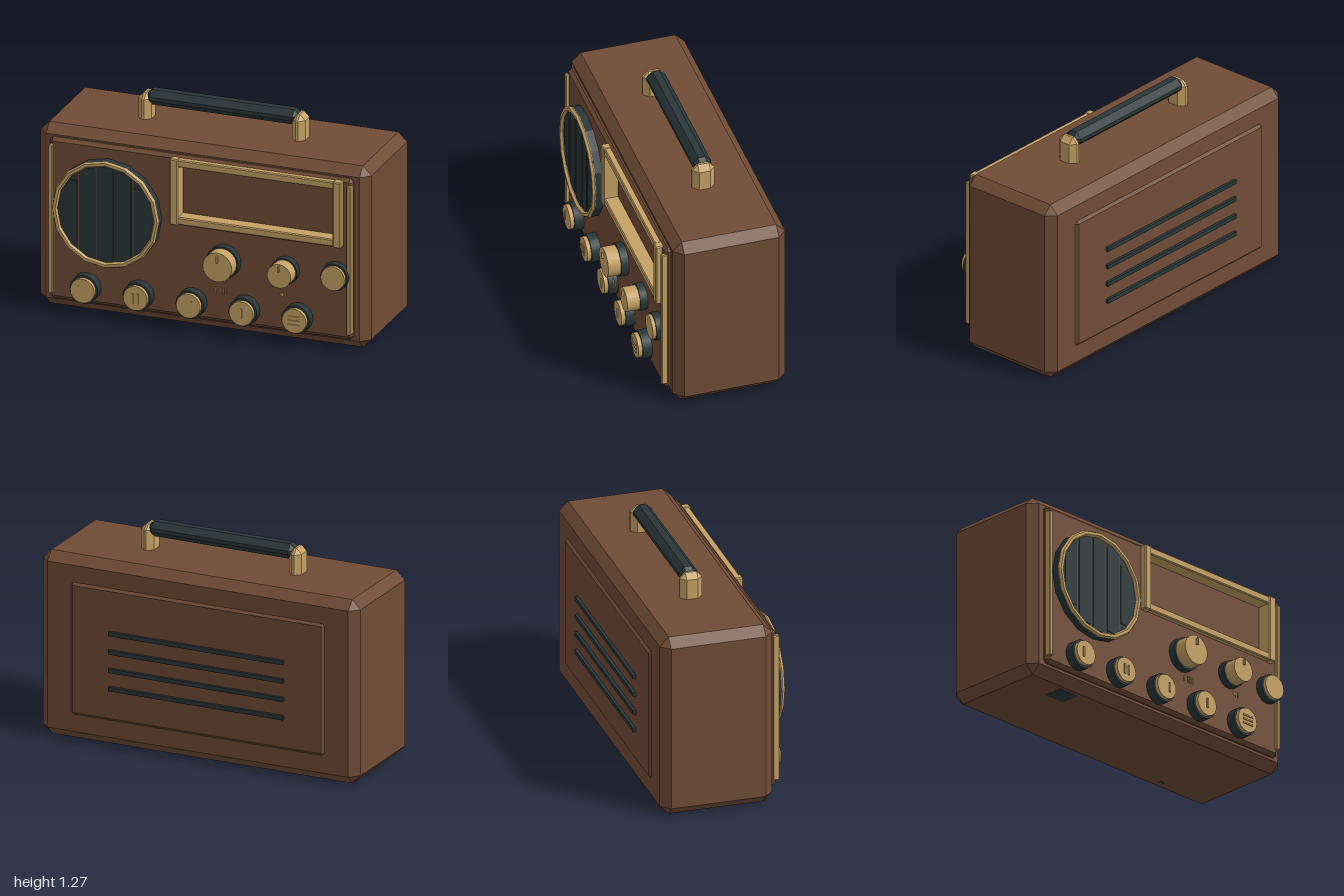
import * as THREE from 'three';
import { mergeGeometries } from 'three/addons/utils/BufferGeometryUtils.js';
import { ConvexGeometry } from 'three/addons/geometries/ConvexGeometry.js';

const material = (name, color, side = THREE.FrontSide) => {
  const m = new THREE.MeshStandardMaterial({ color, side });
  m.name = name;
  return m;
};

// Box with every edge chamfered by c
function bevelBox(w, h, d, c) {
  const pts = [];
  for (const sx of [-1, 1]) for (const sy of [-1, 1]) for (const sz of [-1, 1]) {
    const x = w / 2, y = h / 2, z = d / 2;
    pts.push(
      new THREE.Vector3(sx * x, sy * (y - c), sz * (z - c)),
      new THREE.Vector3(sx * (x - c), sy * y, sz * (z - c)),
      new THREE.Vector3(sx * (x - c), sy * (y - c), sz * z)
    );
  }
  return new ConvexGeometry(pts);
}

// Swap the flat front of a chamfered box for a face with a rectangular opening
function openFront(geo, w, h, d, c, [x0, x1, y0, y1]) {
  const p = geo.attributes.position, keep = [];
  for (let i = 0; i < p.count; i += 3) {
    const isFront = [0, 1, 2].every(k => p.getZ(i + k) > d / 2 - 1e-4);
    if (!isFront) for (let k = 0; k < 3; k++) keep.push(p.getX(i + k), p.getY(i + k), p.getZ(i + k));
  }
  const shell = new THREE.BufferGeometry();
  shell.setAttribute('position', new THREE.Float32BufferAttribute(keep, 3));
  shell.computeVertexNormals();
  const rect = (T, a, b, e, f) => {
    const s = new T();
    s.moveTo(a, e); s.lineTo(b, e); s.lineTo(b, f); s.lineTo(a, f); s.closePath();
    return s;
  };
  const X = w / 2 - c, Y = h / 2 - c;
  const face = rect(THREE.Shape, -X, X, -Y, Y);
  face.holes.push(rect(THREE.Path, x0, x1, y0, y1));
  const front = new THREE.ShapeGeometry(face).toNonIndexed().translate(0, 0, d / 2);
  front.deleteAttribute('uv');
  return mergeGeometries([shell, front]);
}

// Faceted copy of a geometry
function flat(geo) {
  const g = geo.toNonIndexed();
  g.computeVertexNormals();
  return g;
}

export function createModel() {
  const brown = material('brown casing', 0x714c36, THREE.DoubleSide);
  const gold = material('brass', 0xc6a265);
  const dark = material('dark rubber', 0x293638);
  const glass = material('dark dial', 0x372a20);

  const root = new THREE.Group();
  root.name = 'radio';
  const add = (name, geo, mat, x, y, z, parent = root) => {
    const m = new THREE.Mesh(geo, mat);
    m.name = name;
    m.position.set(x, y, z);
    parent.add(m);
    return m;
  };
  // Plain box given by its centre and size
  const box = (name, mat, x, y, z, w, h, d, parent) =>
    add(name, new THREE.BoxGeometry(w, h, d), mat, x, y, z, parent);
  // Disc facing +z, from z0 to z1
  const disc = (name, mat, r, z0, z1, parent) =>
    add(name, new THREE.CylinderGeometry(r, r, z1 - z0, 24).rotateX(Math.PI / 2), mat, 0, 0, (z0 + z1) / 2, parent);

  // Casing and front panel, both open behind the dial
  const hole = [-0.15, 0.835, 0.655, 1.005];
  const shifted = cy => [hole[0], hole[1], hole[2] - cy, hole[3] - cy];
  const caseSize = [2, 1.1, 0.665, 0.053];
  add('casing', openFront(bevelBox(...caseSize), ...caseSize, shifted(0.55)), brown, 0, 0.55, -0.0675);
  const panelSize = [1.835, 0.975, 0.05, 0.02];
  add('frontPanel', openFront(bevelBox(...panelSize), ...panelSize, shifted(0.5525)), brown, 0, 0.5525, 0.275);

  // Side trims
  for (const s of [-1, 1])
    add('sideTrim', bevelBox(0.026, 0.9, 0.04, 0.005), gold, s * 0.902, 0.552, 0.3);

  // Recessed dial and its frame
  const dial = new THREE.Group();
  dial.name = 'dial';
  root.add(dial);
  box('dialWindow', glass, 0.343, 0.83, 0.225, 0.98, 0.35, 0.01, dial);
  for (const x of [-0.149, 0.836])
    add('dialFrameSide', bevelBox(0.05, 0.4, 0.115, 0.006), gold, x, 0.828, 0.28, dial);
  for (const y of [0.655, 1.003])
    add('dialFrameRail', bevelBox(0.95, 0.045, 0.108, 0.006), gold, 0.343, y, 0.277, dial);

  // Speaker
  const speaker = new THREE.Group();
  speaker.name = 'speaker';
  speaker.position.set(-0.555, 0.64, 0);
  root.add(speaker);
  const drum = new THREE.CylinderGeometry(0.322, 0.322, 0.055, 16).rotateX(Math.PI / 2).rotateZ(Math.PI / 2);
  add('speakerDrum', flat(drum), dark, 0, 0, 0.3175, speaker);
  add('speakerRing', flat(new THREE.TorusGeometry(0.308, 0.017, 6, 16)), gold, 0, 0, 0.35, speaker);
  for (let i = -4; i <= 4; i++) {
    const x = i * 0.055;
    const len = 2 * Math.sqrt(0.285 ** 2 - x * x);
    if (i % 2) box('speakerGroove', brown, x, 0, 0.345, 0.004, len, 0.002, speaker);
    else box('speakerSlat', dark, x, 0, 0.346, 0.09, len, 0.006, speaker);
  }

  // Knobs and buttons: dark collar with a brass cap
  const knob = (name, x, y, rCollar, rCap, zCollar, zCap) => {
    const g = new THREE.Group();
    g.name = name;
    g.position.set(x, y, 0);
    root.add(g);
    disc('collar', dark, rCollar, 0.29, zCollar, g);
    disc('cap', gold, rCap, zCollar, zCap, g);
    return g;
  };
  const tuning = knob('tuningKnob', 0.147, 0.445, 0.098, 0.088, 0.345, 0.42);
  const volume = knob('volumeKnob', 0.52, 0.445, 0.08, 0.072, 0.345, 0.42);
  knob('sideKnob', 0.823, 0.453, 0.082, 0.072, 0.345, 0.365);
  box('pointer', gold, 0, 0.05, 0.427, 0.008, 0.04, 0.016, tuning);
  box('pointer', gold, 0, 0.045, 0.427, 0.008, 0.035, 0.016, volume);

  // Button row with small raised marks [x, y, w, h]
  const marks = [
    [[-0.02, 0, 0.01, 0.06]],
    [[-0.015, 0, 0.012, 0.06], [0.015, 0, 0.012, 0.06]],
    [[0.02, 0, 0.01, 0.06]],
    [[0, 0, 0.01, 0.06]],
    [[0, 0.025, 0.07, 0.009], [0, 0, 0.07, 0.009], [0, -0.025, 0.07, 0.009]],
  ];
  marks.forEach((list, i) => {
    const b = knob('button', -0.685 + i * 0.32, 0.168, 0.085, 0.073, 0.355, 0.378);
    for (const [x, y, w, h] of list) box('buttonMark', gold, x, y, 0.381, w, h, 0.008, b);
  });

  // Small raised ticks under the two large knobs
  for (const x of [0.115, 0.145, 0.162, 0.18]) box('tick', gold, x, 0.282, 0.355, 0.008, 0.038, 0.006);
  box('tick', gold, 0.538, 0.312, 0.355, 0.007, 0.032, 0.006);
  const arrow = new THREE.CylinderGeometry(0.018, 0.018, 0.006, 3).rotateX(Math.PI / 2).rotateZ(-Math.PI / 2);
  add('arrowMark', flat(arrow), gold, 0.515, 0.312, 0.355);

  // Carrying handle
  const handle = new THREE.Group();
  handle.name = 'handle';
  root.add(handle);
  for (const s of [-1, 1])
    add('handlePost', bevelBox(0.08, 0.2, 0.132, 0.033), gold, s * 0.465, 1.153, -0.066, handle);
  add('handleGrip', bevelBox(0.93, 0.09, 0.11, 0.034), dark, 0, 1.225, -0.07, handle);

  // Back cover with vent slots
  add('backCover', bevelBox(1.605, 0.8, 0.05, 0.02), brown, 0, 0.552, -0.39);
  for (let i = 0; i < 4; i++)
    box('ventSlot', dark, 0, 0.353 + i * 0.11, -0.42, 1.1, 0.025, 0.025);

  // Details underneath
  box('basePlate', dark, -0.635, 0, 0.13, 0.14, 0.002, 0.12);
  box('baseScrew', dark, 0.585, 0, -0.3, 0.04, 0.002, 0.02);

  return root;
}
